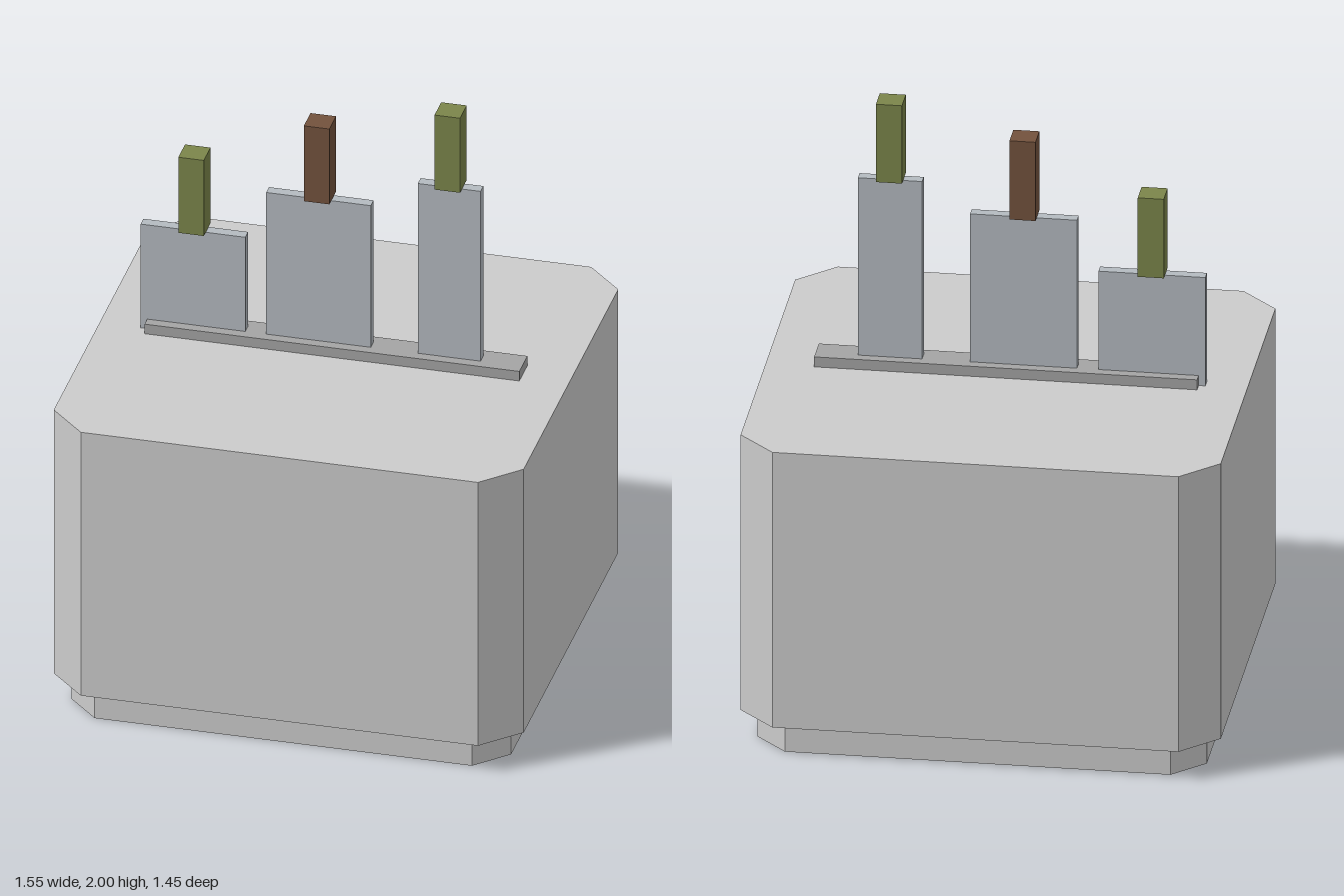
import * as THREE from 'three';

const paint = (color) => new THREE.MeshStandardMaterial({ color, flatShading: true });

export function createModel() {
  const model = new THREE.Group();
  model.name = 'knifeBlock';

  const grey = paint(0xcccccc);
  const slotGrey = paint(0xa4a4a4);
  const steel = paint(0xb4bac0);
  const olive = paint(0x7b854a);
  const brown = paint(0x73523d);

  function add(name, geometry, material, parent = model) {
    const mesh = new THREE.Mesh(geometry, material);
    mesh.name = name;
    parent.add(mesh);
    return mesh;
  }

  // Upright prism with chamfered corners: half width, half depth, chamfer
  function chamferedBlock(name, w, d, c, y0, y1) {
    const shape = new THREE.Shape([
      [w - c, -d], [w, c - d], [w, d - c], [w - c, d],
      [c - w, d], [-w, d - c], [-w, c - d], [c - w, -d],
    ].map(([x, y]) => new THREE.Vector2(x, y)));
    const geometry = new THREE.ExtrudeGeometry(shape, { depth: y1 - y0, bevelEnabled: false });
    geometry.rotateX(-Math.PI / 2).translate(0, y0, 0);
    return add(name, geometry, grey);
  }

  // Box centred on z = 0, given by its centre x, width, depth, bottom and top
  function box(name, x, w, d, y0, y1, material, parent) {
    const geometry = new THREE.BoxGeometry(w, y1 - y0, d).translate(x, (y0 + y1) / 2, 0);
    return add(name, geometry, material, parent);
  }

  // Block and recessed foot
  chamferedBlock('foot', 0.725, 0.675, 0.103, 0, 0.105);
  chamferedBlock('body', 0.775, 0.725, 0.12, 0.105, 1.07);

  // Strip from which the blades rise
  box('slotStrip', 0, 1.236, 0.104, 1.07, 1.105, slotGrey);

  // Blades with their handles: centre x, blade width, blade top, handle top
  [
    ['rightKnife', -0.467, 0.345, 1.45, 1.727, olive],
    ['middleKnife', -0.053, 0.345, 1.624, 1.9, brown],
    ['leftKnife', 0.378, 0.207, 1.727, 2, olive],
  ].forEach(([name, x, width, bladeTop, handleTop, color]) => {
    const knife = new THREE.Group();
    knife.name = name;
    model.add(knife);
    box('blade', x, width, 0.036, 1.07, bladeTop, steel, knife);
    box('handle', x, 0.084, 0.086, bladeTop, handleTop, color, knife);
  });

  return model;
}
